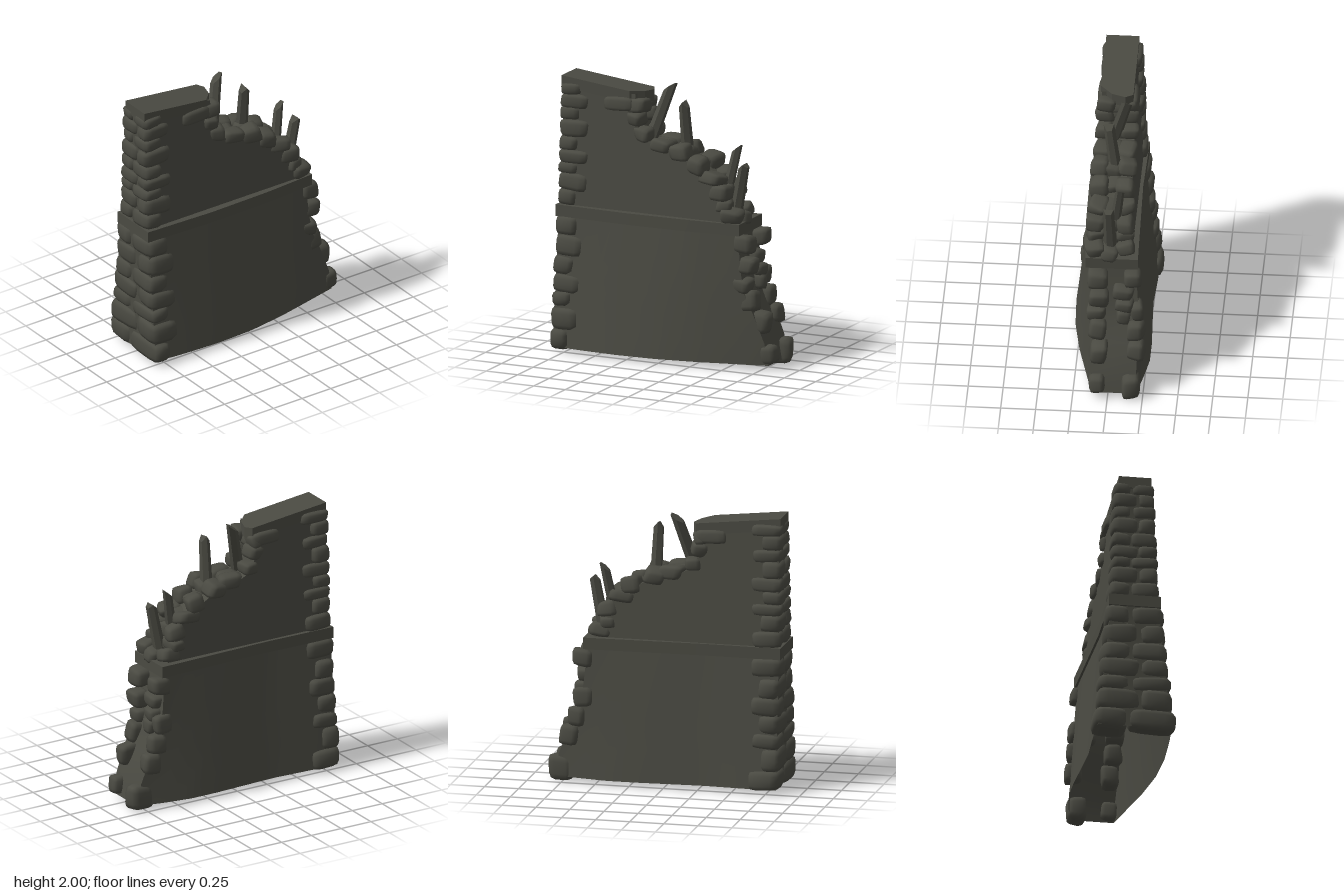
import * as THREE from 'three';
import { mergeVertices, toCreasedNormals } from 'three/addons/utils/BufferGeometryUtils.js';

// The wall is a hollow shell, open underneath, so both faces show
const stoneMat = new THREE.MeshStandardMaterial({ color: 0x4a4a42, side: THREE.DoubleSide });
stoneMat.name = 'dark grey stone';

// Small seeded random in -1..1
let seed = 7;
const rnd = () => {
  seed = (seed * 16807) % 2147483647;
  return (seed / 2147483647) * 2 - 1;
};

// Piecewise linear lookup in [[key, value], ...]
function table(t, k) {
  if (k <= t[0][0]) return t[0][1];
  for (let i = 1; i < t.length; i++) {
    if (k <= t[i][0]) {
      return THREE.MathUtils.mapLinear(k, t[i - 1][0], t[i][0], t[i - 1][1], t[i][1]);
    }
  }
  return t[t.length - 1][1];
}

function mesh(name, geo) {
  const m = new THREE.Mesh(geo, stoneMat);
  m.name = name;
  return m;
}

// Shell of horizontal rings stacked over rows of [y, xLeft, xRight, inset]
function shell(name, rows, front, back) {
  const N = 16, R = 2 * (N + 1), pos = [], idx = [];
  for (const [y, x0, x1, inset = 0] of rows) {
    for (let j = 0; j < R; j++) {
      const u = j <= N ? j / N : (R - 1 - j) / N;
      const x = x0 + (x1 - x0) * u;
      pos.push(x, y, j <= N ? front(x, y) - inset : back(x, y) + inset);
    }
  }
  for (let r = 0; r < rows.length - 1; r++) {
    for (let j = 0; j < R; j++) {
      const a = r * R + j, b = r * R + (j + 1) % R;
      idx.push(a, b, b + R, a, b + R, a + R);
    }
  }
  const g = new THREE.BufferGeometry();
  g.setAttribute('position', new THREE.Float32BufferAttribute(pos, 3));
  g.setIndex(idx);
  return mesh(name, toCreasedNormals(g, 0.5));
}

// Worn block: a rounded box whose eight corners are nudged
function stone(name, x, y, z, w, h, d, tilt = 0.08, wear = 0.1) {
  let g = new THREE.BoxGeometry(2, 2, 2, 4, 4, 4);
  g.deleteAttribute('uv');
  g.deleteAttribute('normal');
  g = mergeVertices(g);
  const corners = Array.from({ length: 8 }, () => new THREE.Vector3(rnd(), rnd(), rnd()).multiplyScalar(wear));
  const p = g.attributes.position, v = new THREE.Vector3(), o = new THREE.Vector3();
  for (let i = 0; i < p.count; i++) {
    v.fromBufferAttribute(p, i);
    const n = 5;
    v.divideScalar((Math.abs(v.x) ** n + Math.abs(v.y) ** n + Math.abs(v.z) ** n) ** (1 / n));
    o.set(0, 0, 0);
    corners.forEach((c, k) => {
      const f = (1 + (k & 1 ? v.x : -v.x)) * (1 + (k & 2 ? v.y : -v.y)) * (1 + (k & 4 ? v.z : -v.z)) / 8;
      o.addScaledVector(c, f);
    });
    v.add(o);
    p.setXYZ(i, v.x * w / 2, v.y * h / 2, v.z * d / 2);
  }
  g.computeVertexNormals();
  const m = mesh(name, g);
  m.position.set(x, y, z);
  m.rotation.set(rnd() * tilt, rnd() * tilt, rnd() * tilt);
  return m;
}

// Broken timber with a ridged tip; slant moves the ridge off centre
function stake(from, to, r, slant) {
  const a = new THREE.Vector3(...from), b = new THREE.Vector3(...to);
  const len = a.distanceTo(b);
  const g = new THREE.CylinderGeometry(r * 0.85, r, len, 6);
  const p = g.attributes.position;
  for (let i = 0; i < p.count; i++) {
    if (p.getY(i) > 0) p.setY(i, len / 2 - Math.abs(p.getX(i) - slant * r) * 1.2);
  }
  g.translate(0, len / 2, 0);
  g.deleteAttribute('normal');
  const m = mesh('brokenStake', toCreasedNormals(g, 0.4));
  m.position.copy(a);
  m.quaternion.setFromUnitVectors(new THREE.Vector3(0, 1, 0), b.sub(a).normalize());
  return m;
}

export function createModel() {
  const group = new THREE.Group();
  group.name = 'ruinedWall';

  // Lower wall, bowed at the foot and tapering upward
  const f0 = [[-0.84, 0.265], [-0.6, 0.287], [-0.3, 0.3], [0, 0.285], [0.3, 0.235], [0.6, 0.165], [0.81, 0.115]];
  const f1 = [[-0.84, 0.17], [-0.3, 0.19], [0.2, 0.175], [0.6, 0.125]];
  const b0 = [[-0.84, -0.265], [-0.6, -0.265], [-0.3, -0.25], [0, -0.265], [0.2, -0.275], [0.4, -0.275], [0.6, -0.245], [0.81, -0.2]];
  const b1 = [[-0.84, -0.17], [-0.3, -0.16], [0.6, -0.185]];
  const mix = (lo, hi) => (x, y) => THREE.MathUtils.mapLinear(y, 0.04, 1, table(lo, x), table(hi, x));
  group.add(shell('lowerWall', [[0.04, -0.83, 0.81], [0.2, -0.83, 0.78], [0.4, -0.83, 0.7], [0.55, -0.83, 0.63],
    [0.7, -0.83, 0.6], [0.985, -0.83, 0.57]], mix(f0, f1), mix(b0, b1)));

  // Ledge course, returning to the wall above and below
  const ledgeFront = [[-0.84, 0.188], [-0.3, 0.208], [0.2, 0.198], [0.6, 0.17]];
  group.add(shell('ledge', [[0.98, -0.82, 0.55, 0.05], [0.98, -0.845, 0.6], [1.065, -0.845, 0.6], [1.065, -0.82, 0.5, 0.06]],
    (x) => table(ledgeFront, x), (x) => table(b1, x) - 0.018));

  // Upper wall, crumbling away to one side
  const upper = (s) => (x, y) => s * THREE.MathUtils.mapLinear(y, 1.05, 1.95, 0.155, 0.11);
  group.add(shell('upperWall', [[1.06, -0.82, 0.53], [1.2, -0.82, 0.46], [1.33, -0.82, 0.4], [1.42, -0.82, 0.27],
    [1.5, -0.82, 0.14], [1.56, -0.82, -0.1], [1.62, -0.82, -0.2], [1.74, -0.82, -0.24], [1.92, -0.82, -0.25]],
  upper(1), upper(-1)));

  // Sloping cap slab with a broken end
  const outline = [[-0.83, 0.122], [-0.29, 0.122], [-0.21, 0.04], [-0.18, -0.06], [-0.21, -0.115], [-0.83, -0.115]];
  const shape = new THREE.Shape(outline.map(([x, z]) => new THREE.Vector2(x, -z)));
  const cap = new THREE.ExtrudeGeometry(shape, { depth: 0.085, bevelEnabled: false });
  cap.rotateX(-Math.PI / 2);
  const cp = cap.attributes.position;
  for (let i = 0; i < cp.count; i++) cp.setY(i, cp.getY(i) + 1.915 - (cp.getX(i) + 0.83) * 0.11);
  cap.computeVertexNormals();
  group.add(mesh('capSlab', cap));

  // Corner stones, alternating long and short on both faces
  const courses = [0.03, 0.17, 0.33, 0.435, 0.565, 0.695, 0.845, 0.98, 1.06, 1.17, 1.29, 1.37, 1.46, 1.56, 1.68, 1.77, 1.87, 1.95];
  for (let i = 0; i < courses.length - 1; i++) {
    if (i === 7) continue;
    const lo = courses[i], hi = courses[i + 1], y = (lo + hi) / 2;
    const half = y < 1 ? 0.3 - 0.1 * y : 0.185 - 0.045 * (y - 1);
    const outer = -0.855 + 0.008 * y;
    for (const side of [1, -1]) {
      const long = (i % 2 === 1) === (side === 1);
      const w = (long ? 0.22 : 0.155) + rnd() * 0.01;
      const d = half * (long ? 0.85 : 1.15);
      group.add(stone('cornerStone', outer + w / 2, y, side * (half - d / 2), w, hi - lo + 0.006, d, 0.06, 0.11));
    }
  }

  // Stones along the crumbled upper edge: x, y, width, height, in rows across the thickness
  const rubble = [[-0.24, 1.83, 0.14, 0.1], [-0.25, 1.74, 0.11, 0.1], [-0.19, 1.63, 0.12, 0.1], [-0.05, 1.56, 0.17, 0.1],
    [0.11, 1.53, 0.15, 0.11], [0.24, 1.45, 0.14, 0.11], [0.36, 1.36, 0.17, 0.09], [0.42, 1.27, 0.15, 0.11],
    [0.46, 1.18, 0.11, 0.09], [0.52, 1.105, 0.16, 0.1]];
  for (const [x, y, w, h] of rubble) {
    const reach = 0.11 - 0.04 * (y - 1.1);
    for (const k of [1, 0, -1]) {
      group.add(stone('rubbleStone', x + (k === 1 ? 0 : rnd() * 0.03), y - (k ? 0 : 0.02), k * reach, w, h, 0.13, 0.24, 0.24));
    }
  }
  for (const side of [1, -1]) {
    group.add(stone('faceStone', -0.38 + (side < 0 ? 0.06 : 0), 1.84, side * 0.1, 0.22, 0.1, 0.09, 0.05));
  }

  // Stones down the broken lower end: x, y, z, width, height, depth
  const endStones = [[0.61, 0.91, 0.08, 0.15, 0.13, 0.15], [0.63, 0.75, 0.075, 0.14, 0.12, 0.14], [0.59, 0.61, 0.085, 0.15, 0.1, 0.14],
    [0.645, 0.49, 0.08, 0.14, 0.15, 0.13], [0.72, 0.35, 0.07, 0.15, 0.15, 0.12], [0.8, 0.12, 0.075, 0.11, 0.14, 0.11],
    [0.61, 0.91, -0.17, 0.14, 0.12, 0.12], [0.6, 0.79, -0.1, 0.13, 0.1, 0.15], [0.62, 0.69, -0.11, 0.12, 0.09, 0.13],
    [0.62, 0.6, -0.1, 0.12, 0.1, 0.11], [0.6, 0.63, -0.2, 0.13, 0.13, 0.09], [0.64, 0.48, -0.19, 0.13, 0.14, 0.12],
    [0.7, 0.35, -0.2, 0.13, 0.14, 0.12], [0.77, 0.1, -0.16, 0.17, 0.17, 0.13]];
  for (const s of endStones) group.add(stone('endStone', ...s, 0.15, 0.18));

  // Broken timbers standing in the rubble
  group.add(stake([-0.17, 1.58, 0.02], [-0.05, 2.0, -0.09], 0.046, 0.85));
  group.add(stake([0.11, 1.5, -0.01], [0.1, 1.89, 0.04], 0.045, 0));
  group.add(stake([0.42, 1.28, -0.03], [0.48, 1.6, -0.07], 0.038, 0.85));
  group.add(stake([0.5, 1.12, 0.0], [0.57, 1.485, 0.01], 0.045, 0.2));

  return group;
}
